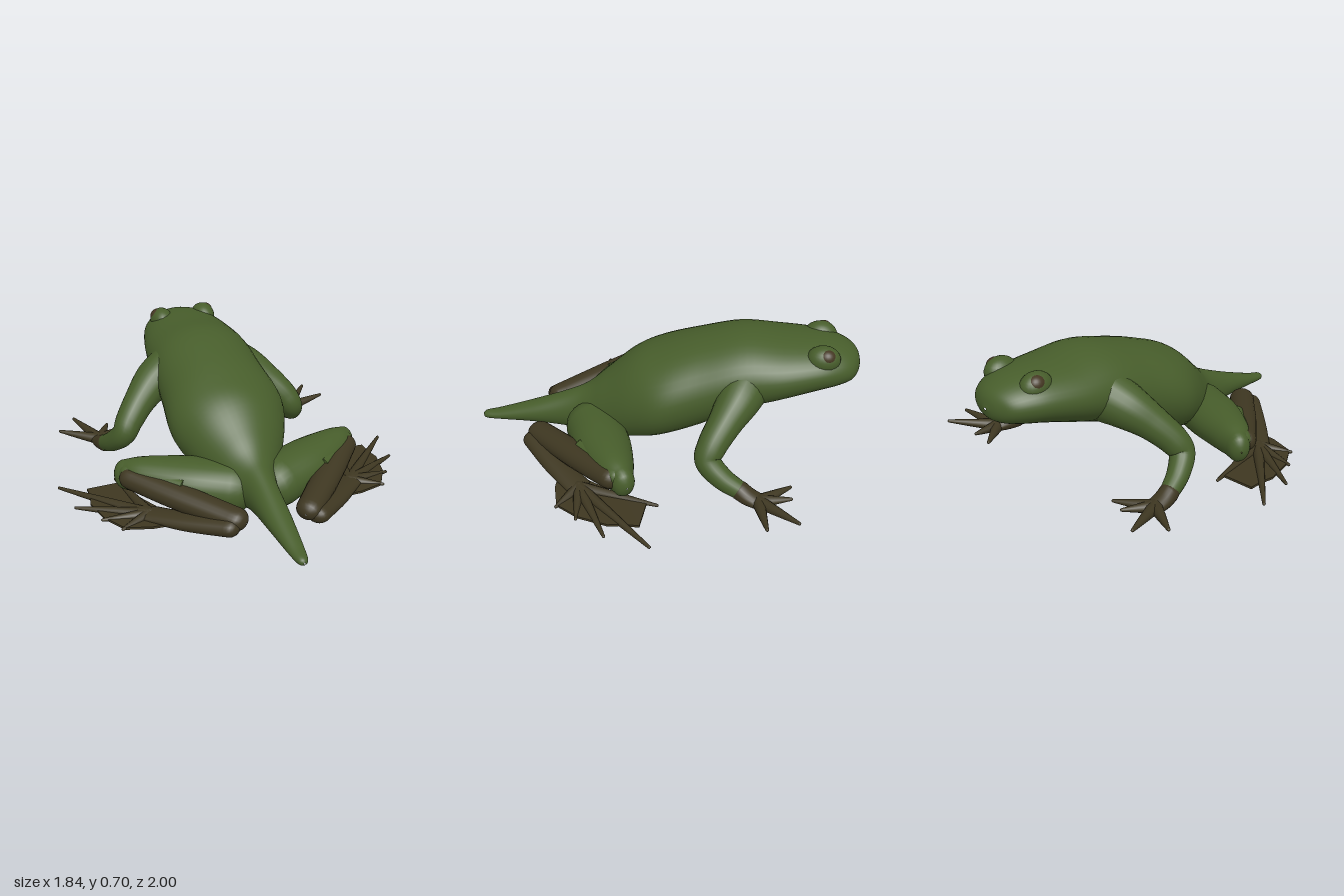
import * as THREE from 'three';

const skin = new THREE.MeshStandardMaterial({ name: 'green skin', color: 0x475d2b });
const dark = new THREE.MeshStandardMaterial({ name: 'brown skin', color: 0x3e3721 });
const eyeTone = new THREE.MeshStandardMaterial({ name: 'eye brown', color: 0x443722 });

const V = (x, y, z) => new THREE.Vector3(x, y, z);
const smooth = (pts) => new THREE.CatmullRomCurve3(pts, false, 'catmullrom', 0.5);

// Skin a list of rings { c: centre, u, v: half axes } into a closed smooth surface
function loft(rings, sides) {
  const pos = [], idx = [];
  for (const { c, u, v } of rings) {
    for (let j = 0; j < sides; j++) {
      const a = (j / sides) * Math.PI * 2;
      const p = c.clone().addScaledVector(u, Math.cos(a)).addScaledVector(v, Math.sin(a));
      pos.push(p.x, p.y, p.z);
    }
  }
  for (let i = 0; i < rings.length - 1; i++) {
    for (let j = 0; j < sides; j++) {
      const k = (j + 1) % sides, a = i * sides, b = a + sides;
      idx.push(a + j, a + k, b + j, a + k, b + k, b + j);
    }
  }
  const g = new THREE.BufferGeometry();
  g.setAttribute('position', new THREE.Float32BufferAttribute(pos, 3));
  g.setIndex(idx);
  g.computeVertexNormals();
  return g;
}

// Round-ended limb through points [x, y, z, half width, half height]
function limb(pts, steps = 24, sides = 20) {
  const path = smooth(pts.map((p) => V(p[0], p[1], p[2])));
  const size = smooth(pts.map((p) => V(p[3], p[4] ?? p[3], 0)));
  const rings = [];
  let side = null;
  const add = (t, shift, scale) => {
    const dir = path.getTangent(t), r = size.getPoint(t);
    if (!side) side = V(0, 1, 0).cross(dir);
    side.addScaledVector(dir, -side.dot(dir)).normalize();
    const up = dir.clone().cross(side);
    rings.push({
      c: path.getPoint(t).addScaledVector(dir, shift * Math.min(r.x, r.y)),
      u: side.clone().multiplyScalar(r.x * scale),
      v: up.multiplyScalar(r.y * scale),
    });
  };
  const cap = [0.05, 0.35, 0.65, 0.9, 1.2];
  cap.forEach((a) => add(0, -Math.cos(a), Math.sin(a)));
  for (let i = 0; i <= steps; i++) add(i / steps, 0, 1);
  cap.reverse().forEach((a) => add(1, Math.cos(a), Math.sin(a)));
  return loft(rings, sides);
}

// Thin tapered finger or toe between two points
function digit(a, b, r) {
  const mix = (t) => a.map((n, i) => n + (b[i] - n) * t);
  return limb([[...a, r], [...mix(0.5), r * 0.65], [...b, r * 0.25]], 10, 10);
}

function mesh(parent, name, geometry, material) {
  const m = new THREE.Mesh(geometry, material);
  m.name = name;
  parent.add(m);
  return m;
}

// Head, trunk and tail: [z, top, bottom, half width]
const BODY = [
  [-1, 0.56, 0.55, 0.008], [-0.985, 0.61, 0.505, 0.075], [-0.95, 0.645, 0.478, 0.14],
  [-0.88, 0.675, 0.455, 0.19], [-0.78, 0.692, 0.43, 0.23], [-0.6, 0.7, 0.37, 0.27],
  [-0.4, 0.71, 0.295, 0.285], [-0.2, 0.665, 0.185, 0.3], [0, 0.6, 0.11, 0.316],
  [0.15, 0.535, 0.066, 0.265], [0.3, 0.41, 0.035, 0.18], [0.4, 0.325, 0.035, 0.12],
  [0.5, 0.275, 0.05, 0.083], [0.7, 0.195, 0.067, 0.066], [0.9, 0.125, 0.066, 0.042],
  [0.98, 0.105, 0.064, 0.026], [1, 0.088, 0.078, 0.004],
];

// The spine drifts slightly to one side toward the tail
function bodyGeometry() {
  const mid = smooth(BODY.map(([z, t, b]) => V(-0.015 - 0.026 * z, (t + b) / 2, z)));
  const size = smooth(BODY.map(([, t, b, w]) => V(w, (t - b) / 2, 0)));
  const rings = [];
  for (let i = 0; i <= 90; i++) {
    const r = size.getPoint(i / 90);
    rings.push({ c: mid.getPoint(i / 90), u: V(r.x, 0, 0), v: V(0, r.y, 0) });
  }
  return loft(rings, 40);
}

// Limb points for the left side; the right side is mirrored and posed by rule
const ARM = [[0.12, 0.5, -0.44, 0.14], [0.25, 0.45, -0.395, 0.112], [0.35, 0.38, -0.335, 0.087],
  [0.435, 0.295, -0.275, 0.074], [0.475, 0.23, -0.258, 0.065], [0.515, 0.16, -0.33, 0.056], [0.54, 0.11, -0.42, 0.046]];
const PALM = [[0.54, 0.11, -0.42, 0.049], [0.563, 0.095, -0.46, 0.05, 0.041], [0.585, 0.085, -0.51, 0.05, 0.03]];
const FINGERS = [[0.465, 0.085, -0.67], [0.57, 0.097, -0.67], [0.765, 0.115, -0.7], [0.815, 0.11, -0.55]];
const THIGH = [[0.1, 0.14, 0.37, 0.14, 0.132], [0.3, 0.165, 0.285, 0.142, 0.116],
  [0.5, 0.176, 0.2, 0.1, 0.098], [0.59, 0.17, 0.15, 0.06, 0.082]];
const SHANK = [[0.155, 0.122, 0.645, 0.066, 0.055], [0.38, 0.15, 0.41, 0.072, 0.062], [0.58, 0.18, 0.215, 0.055]];
const CALF = [[0.35, 0.18, 0.38, 0.05], [0.58, 0.195, 0.185, 0.05]];
const TARSUS = [[0.19, 0.1, 0.67, 0.06, 0.045], [0.36, 0.075, 0.53, 0.062, 0.04], [0.52, 0.06, 0.38, 0.065, 0.026]];
const TOES = [[0.62, 0.054, -0.02], [0.915, 0.054, -0.01], [0.86, 0.054, 0.21], [0.75, 0.054, 0.36], [0.67, 0.054, 0.47]];
const WEB = [[0.36, 0.5], [0.45, 0.36], [0.57, 0.15], [0.6, 0.03], [0.78, 0.05], [0.775, 0.13],
  [0.785, 0.2], [0.74, 0.35], [0.66, 0.47], [0.53, 0.5]];

// Turn a point about a vertical axis at (px, pz)
function turn([x, y, z, ...size], px, pz, angle) {
  const c = Math.cos(angle), s = Math.sin(angle), dx = x - px, dz = z - pz;
  return [px + dx * c + dz * s, y, pz + dz * c - dx * s, ...size];
}

const flip = ([x, ...rest]) => [-x, ...rest];
const keep = (p) => p;
const outward = ([x, ...rest]) => flip([x + 0.037, ...rest]);
const POSES = [
  { name: 'left', s: 1, arm: keep, hand: keep, leg: keep },
  {
    name: 'right', s: -1,
    arm: outward,
    hand: (p) => outward(turn(p, 0.54, -0.42, 0.4)),
    leg: (p) => flip(turn(p, -0.29, 0.03, 0.09)),
  },
];

function addFrontLeg(root, { name, arm, hand }) {
  const g = new THREE.Group();
  g.name = name + 'FrontLeg';
  root.add(g);
  mesh(g, 'arm', limb(ARM.map(arm), 40), skin);
  mesh(g, 'palm', limb(PALM.map(hand), 12), dark);
  const base = hand(PALM[2].slice(0, 3));
  FINGERS.forEach((tip, i) => mesh(g, 'finger' + (i + 1), digit(base, hand(tip), 0.034), dark));
}

function addHindLeg(root, { name, leg }) {
  const g = new THREE.Group();
  g.name = name + 'HindLeg';
  root.add(g);
  mesh(g, 'thigh', limb(THIGH.map(leg), 30, 28), skin);
  mesh(g, 'shank', limb(SHANK.map(leg)), dark);
  mesh(g, 'calf', limb(CALF.map(leg)), skin);
  mesh(g, 'tarsus', limb(TARSUS.map(leg)), dark);
  // Webbing lies flat between the toes
  const outline = WEB.map(([x, z]) => leg([x, 0, z])).map(([x, , z]) => new THREE.Vector2(x, z));
  const web = new THREE.ExtrudeGeometry(new THREE.Shape(outline), { depth: 0.012, bevelEnabled: false });
  web.rotateX(Math.PI / 2);
  mesh(g, 'webbing', web, dark).position.y = 0.06;
  const ankle = leg(TARSUS[2].slice(0, 3));
  TOES.forEach((tip, i) => mesh(g, 'toe' + (i + 1), digit(ankle, leg(tip), 0.032), dark));
}

// Soft lid with a small eye showing through its outer top
function addEye(root, { name, s }) {
  const ball = new THREE.SphereGeometry(1, 24, 16);
  const x = 0.018 + s * 0.132;
  const lid = mesh(root, name + 'EyeBump', ball, skin);
  lid.position.set(x - s * 0.006, 0.638, -0.8);
  lid.scale.set(0.066, 0.07, 0.085);
  const eye = mesh(root, name + 'Eye', ball, eyeTone);
  eye.position.set(x + s * 0.014, 0.661, -0.814);
  eye.scale.set(0.042, 0.042, 0.046);
}

export function createModel() {
  const root = new THREE.Group();
  root.name = 'frog';
  mesh(root, 'body', bodyGeometry(), skin);
  for (const pose of POSES) {
    addEye(root, pose);
    addFrontLeg(root, pose);
    addHindLeg(root, pose);
  }
  return root;
}
